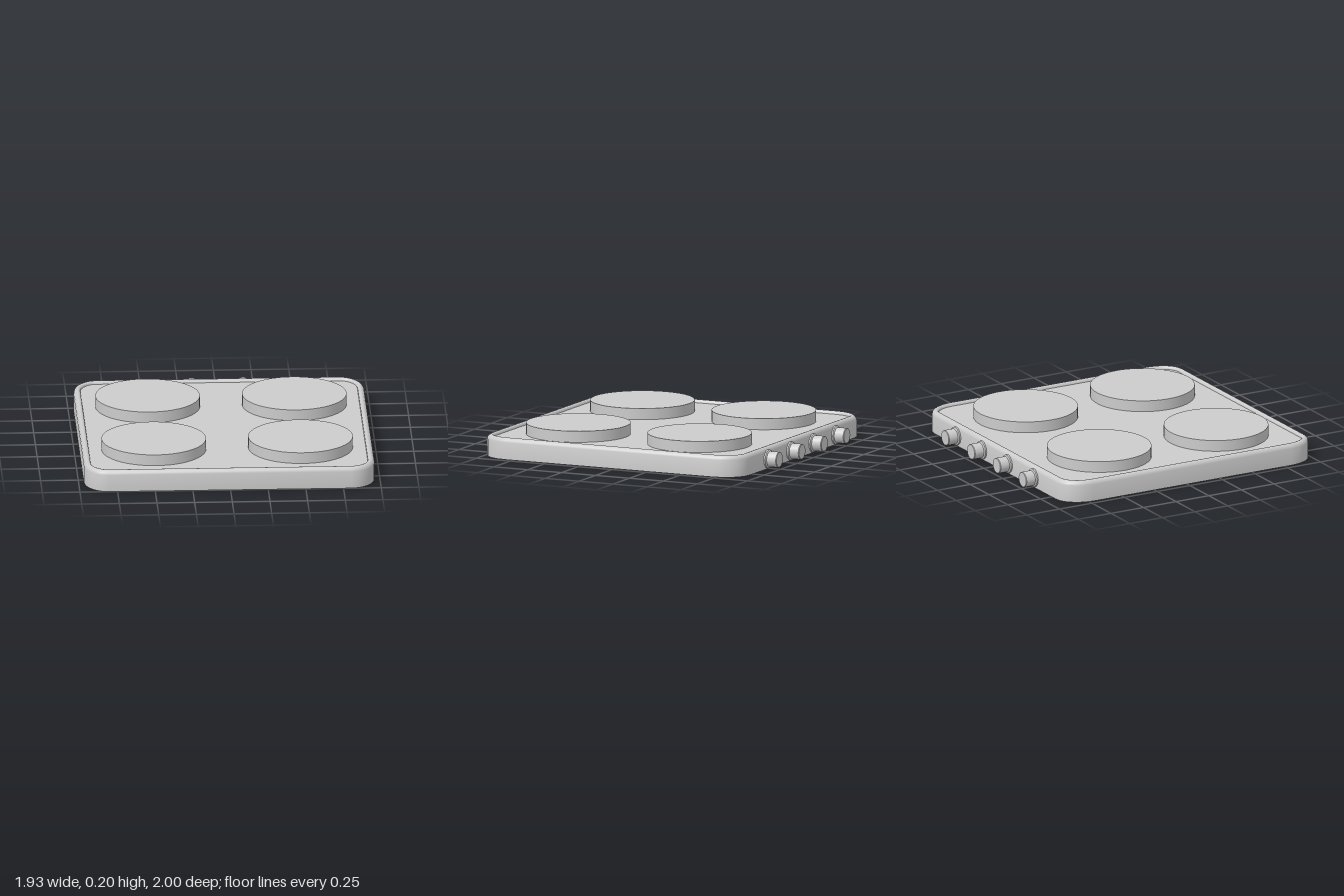
import * as THREE from 'three';
import { toCreasedNormals } from 'three/addons/utils/BufferGeometryUtils.js';

const MAT = new THREE.MeshStandardMaterial({ color: 0xcccccc });
const HALF_X = 0.965, HALF_Z = 0.957, MID_Z = 0.043;
const CORNER_X = 0.16, CORNER_Z = 0.2, STEPS = 5;

// Rounded rectangle outline, shrunk by an inset, at height y
function outline(inset, y) {
  const points = [];
  for (let corner = 0; corner < 4; corner++) {
    const sx = corner === 0 || corner === 3 ? 1 : -1;
    const sz = corner < 2 ? 1 : -1;
    for (let i = 0; i <= STEPS; i++) {
      const a = (corner + i / STEPS) * Math.PI / 2;
      points.push([
        sx * (HALF_X - CORNER_X) + Math.cos(a) * (CORNER_X - inset),
        y,
        MID_Z + sz * (HALF_Z - CORNER_Z) + Math.sin(a) * (CORNER_Z - inset),
      ]);
    }
  }
  return points;
}

// Skin through [inset, y] rings, from the underside to the recessed top
function trayGeometry(profile) {
  const n = 4 * (STEPS + 1), last = profile.length - 1;
  const positions = profile.flatMap(([inset, y]) => outline(inset, y).flat());
  const index = [];
  for (let r = 0; r < last; r++) {
    for (let i = 0; i < n; i++) {
      const a = r * n + i, b = r * n + (i + 1) % n;
      index.push(a, a + n, b, b, a + n, b + n);
    }
  }
  // Flat underside and top panel
  for (let i = 1; i < n - 1; i++) {
    index.push(0, i, i + 1);
    index.push(last * n, last * n + i + 1, last * n + i);
  }
  const geometry = new THREE.BufferGeometry();
  geometry.setAttribute('position', new THREE.Float32BufferAttribute(positions, 3));
  geometry.setIndex(index);
  return toCreasedNormals(geometry, 0.7);
}

function addMesh(parent, name, geometry, x, y, z) {
  const mesh = new THREE.Mesh(geometry, MAT);
  mesh.name = name;
  mesh.position.set(x, y, z);
  parent.add(mesh);
}

export function createModel() {
  const model = new THREE.Group();
  model.name = 'cooktop';

  // Body with rounded rim and sunken panel
  const body = trayGeometry([
    [0, 0], [0, 0.115], [0.004, 0.128], [0.013, 0.139], [0.026, 0.145],
    [0.036, 0.143], [0.044, 0.136], [0.046, 0.125],
  ]);
  addMesh(model, 'body', body, 0, 0, 0);

  // Four hot plates
  const plate = new THREE.CylinderGeometry(0.347, 0.347, 0.08, 64);
  for (const x of [-0.487, 0.487]) {
    for (const z of [-0.398, 0.497]) addMesh(model, 'hotPlate', plate, x, 0.16, z);
  }

  // Row of knobs along the back: collar, chamfer, grip
  const profile = [
    [0, 0], [0.062, 0], [0.062, 0.014], [0.052, 0.02], [0.052, 0.086], [0.049, 0.09], [0, 0.09],
  ].map(([r, h]) => new THREE.Vector2(r, h));
  const knob = toCreasedNormals(new THREE.LatheGeometry(profile, 24), 0.5);
  knob.rotateX(-Math.PI / 2);
  for (const x of [-0.51, -0.168, 0.172, 0.515]) addMesh(model, 'knob', knob, x, 0.066, -0.91);

  return model;
}
